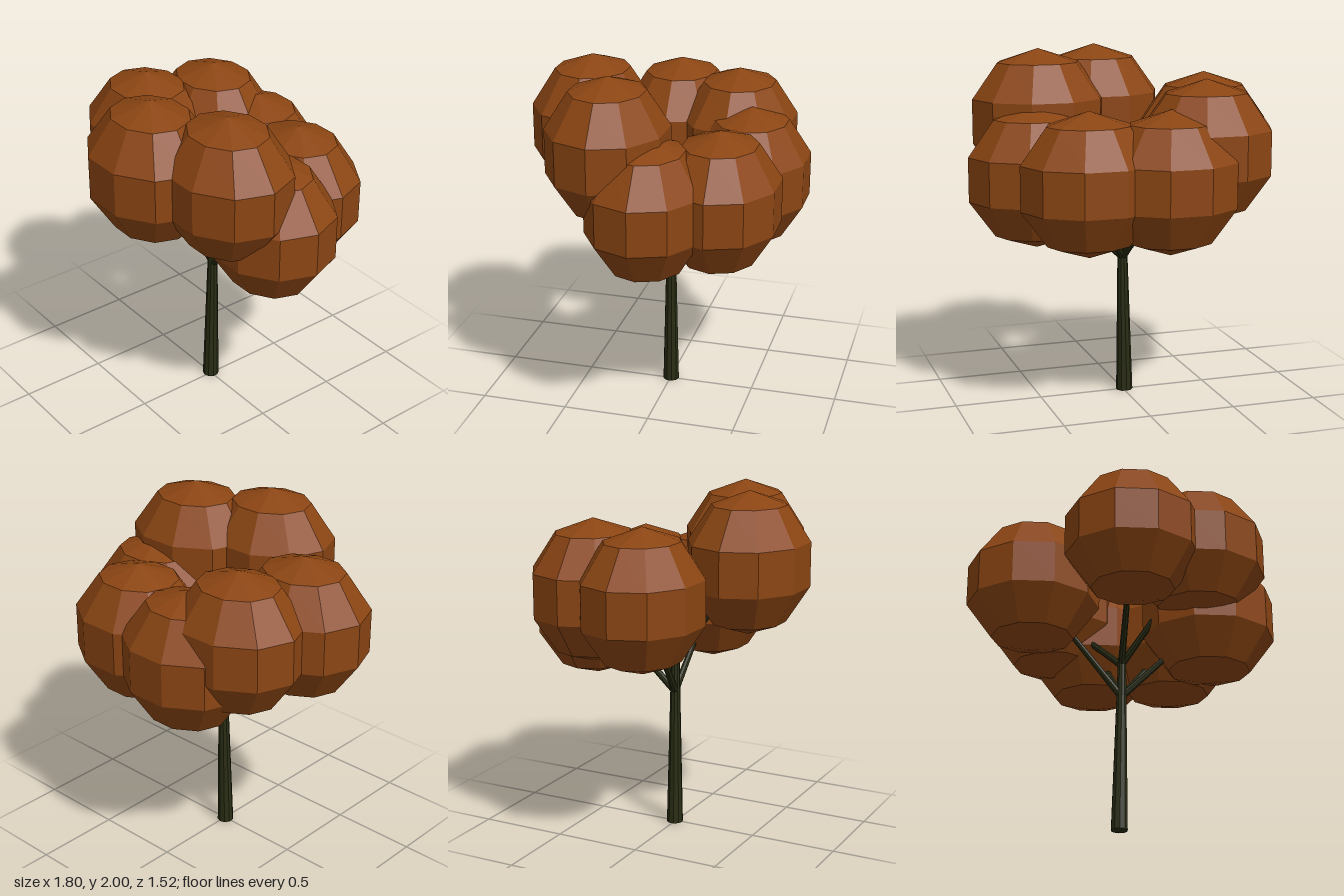
import * as THREE from 'three';

const bark = new THREE.MeshStandardMaterial({ color: 0x2a2d14, flatShading: true });
bark.name = 'darkBark';
const leaves = new THREE.MeshStandardMaterial({ color: 0x8b4513, flatShading: true });
leaves.name = 'autumnLeaves';

const V = (x, y, z) => new THREE.Vector3(x, y, z);
const UP = V(0, 1, 0);

// Tapered round limb between two points
function limb(name, from, to, r0, r1, sides) {
  const dir = to.clone().sub(from);
  const mesh = new THREE.Mesh(new THREE.CylinderGeometry(r1, r0, dir.length(), sides), bark);
  mesh.position.copy(from).add(to).multiplyScalar(0.5);
  mesh.quaternion.setFromUnitVectors(UP, dir.normalize());
  mesh.name = name;
  return mesh;
}

export function createModel() {
  const tree = new THREE.Group();
  tree.name = 'tree';

  // Slightly leaning trunk
  tree.add(limb('trunk', V(-0.008, 0, -0.003), V(0.008, 1.04, -0.008), 0.048, 0.024, 10));

  // Each leaf cluster: centre x, y, z and the height where its branch leaves the trunk
  const clusters = [
    [0.04, 1.595, 0.435, 1.0],
    [0.435, 1.595, 0.228, 1.0],
    [-0.515, 1.45, 0.066, 0.8],
    [-0.386, 1.45, -0.311, 1.0],
    [0.515, 1.305, -0.01, 0.8],
    [0.31, 1.305, -0.364, 0.8],
    [-0.135, 1.305, -0.44, 0.8],
  ];

  // Faceted clusters, a little narrower from front to back
  const ball = new THREE.SphereGeometry(0.405, 10, 5);
  ball.scale(1, 1, 0.874);

  clusters.forEach(([x, y, z, fork], i) => {
    const cluster = new THREE.Mesh(ball, leaves);
    cluster.position.set(x, y, z);
    cluster.name = `leafCluster${i + 1}`;
    tree.add(cluster);
    tree.add(limb(`branch${i + 1}`, V(0.004, fork, -0.007), V(x, y, z), 0.021, 0.013, 8));
  });
  return tree;
}
